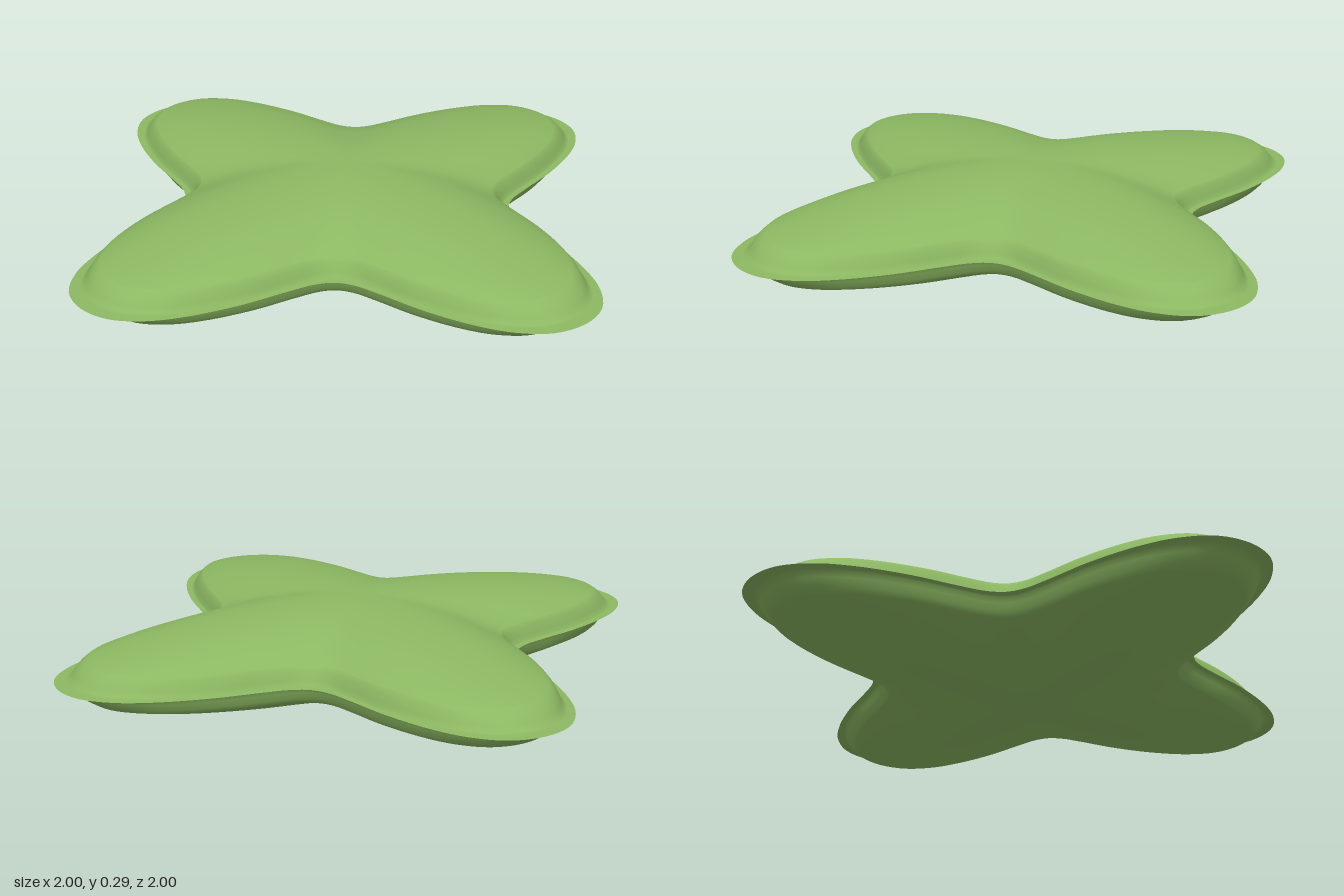
import * as THREE from 'three';

const MID = 0.15; // height of the seam

// One quarter of the cross outline: lobe tip to inner corner, then mirrored
function crossOutline(count) {
  const half = [[1, 0], [0.975, 0.1], [0.9, 0.18], [0.8, 0.235], [0.65, 0.285], [0.5, 0.315], [0.415, 0.336], [0.366, 0.366]];
  const quarter = [...half, ...half.slice(1, -1).reverse().map(([x, z]) => [z, x])];
  const points = [];
  for (let q = 0; q < 4; q++) {
    const c = [1, 0, -1, 0][q], s = [0, 1, 0, -1][q];
    for (const [x, z] of quarter) points.push(new THREE.Vector3(x * c - z * s, 0, x * s + z * c));
  }
  return new THREE.CatmullRomCurve3(points, true).getSpacedPoints(count).slice(0, count);
}

// Padding height from the centre (0) to the rim (1), ending in a thin flat seam
function paddingProfile() {
  const dome = new THREE.SplineCurve([[0, 0.147], [0.2, 0.144], [0.4, 0.132], [0.6, 0.111], [0.8, 0.078], [0.9, 0.055]]
    .map(([t, h]) => new THREE.Vector2(t, h))).getPoints(28);
  const edge = [[0.92, 0.042], [0.94, 0.02], [0.952, 0.004], [0.965, 0.0015], [1, 0]]
    .map(([t, h]) => new THREE.Vector2(t, h));
  return [...dome.slice(1), ...edge];
}

// Skin of scaled outlines; side is 1 for the upper half, -1 for the lower
function cushionHalf(side, outline, profile) {
  const n = outline.length;
  const position = [0, MID + side * 0.147, 0];
  const index = [];
  const face = (a, b, c) => (side > 0 ? index.push(a, b, c) : index.push(a, c, b));
  profile.forEach(({ x: t, y: h }, r) => {
    const ring = 1 + r * n;
    outline.forEach((p, i) => {
      const j = (i + 1) % n;
      position.push(p.x * t, MID + side * h, p.z * t);
      if (r === 0) {
        face(0, ring + j, ring + i);
      } else {
        face(ring - n + i, ring - n + j, ring + i);
        face(ring - n + j, ring + j, ring + i);
      }
    });
  });
  const geometry = new THREE.BufferGeometry();
  geometry.setAttribute('position', new THREE.Float32BufferAttribute(position, 3));
  geometry.setIndex(index);
  geometry.computeVertexNormals();
  return geometry;
}

export function createModel() {
  const group = new THREE.Group();
  group.name = 'crossCushion';
  const fabric = new THREE.MeshStandardMaterial({ color: 0x8cb862, side: THREE.DoubleSide });
  const outline = crossOutline(240);
  const profile = paddingProfile();
  for (const [name, side] of [['upperCushion', 1], ['lowerCushion', -1]]) {
    const mesh = new THREE.Mesh(cushionHalf(side, outline, profile), fabric);
    mesh.name = name;
    group.add(mesh);
  }
  return group;
}
